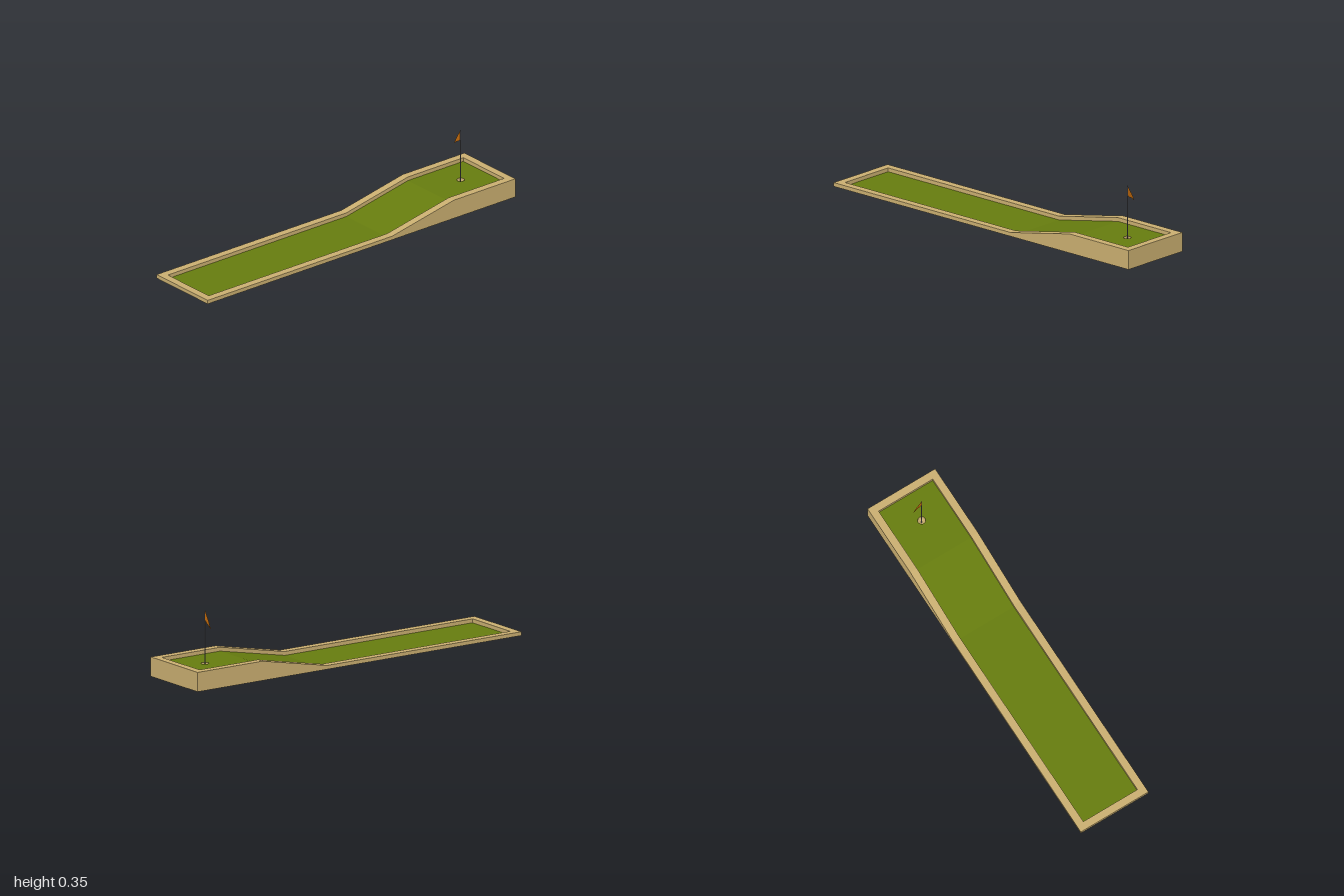
import * as THREE from 'three';

const HALF_W = 0.2, HALF_L = 1, RIM = 0.04, DROP = 0.02;
const HOLE_Z = -0.81, HOLE_R = 0.02, GREEN_Y = 0.08;

const material = (name, color) => {
  const m = new THREE.MeshStandardMaterial({ color, side: THREE.DoubleSide });
  m.name = name;
  return m;
};

// Flat-faced band between two matching lines of points
function strip(a, b, closed = false) {
  const pos = [];
  const n = a.length;
  for (let i = 0; i < (closed ? n : n - 1); i++) {
    const j = (i + 1) % n;
    for (const p of [a[i], b[i], b[j], a[i], b[j], a[j]]) pos.push(...p);
  }
  const g = new THREE.BufferGeometry();
  g.setAttribute('position', new THREE.Float32BufferAttribute(pos, 3));
  g.computeVertexNormals();
  return g;
}

// Closed outline of the lane; heightAt turns the rim height into the loop's height
function laneLoop(inset, heightAt) {
  const stations = [[HALF_L - inset, 0.02], [-0.2, 0.02], [-0.6, 0.1], [inset - HALF_L, 0.1]];
  const left = stations.map(([z, y]) => [HALF_W - inset, heightAt(y), z]);
  const right = left.map(([x, y, z]) => [-x, y, z]).reverse();
  return [...left, ...right];
}

export function createModel() {
  const group = new THREE.Group();
  const wood = material('wood', 0xc9ae70);
  const turf = material('turf green', 0x667c0e);
  const metal = material('pole grey', 0x808086);
  const orange = material('flag orange', 0xc26a0c);

  const add = (name, geometry, mat) => {
    const mesh = new THREE.Mesh(geometry, mat);
    mesh.name = name;
    group.add(mesh);
    return mesh;
  };

  // Hollow wooden border: outer wall, top rim and inner wall
  const loops = [
    laneLoop(0, () => 0),
    laneLoop(0, y => y),
    laneLoop(RIM, y => y),
    laneLoop(RIM, y => y - DROP),
  ];
  ['outerWall', 'topRim', 'innerWall'].forEach((name, k) =>
    add(name, strip(loops[k + 1], loops[k], true), wood));

  // Lower lane and ramp
  const inner = loops[3];
  const leftEdge = inner.slice(0, 3);
  add('laneTurf', strip(leftEdge.map(([x, y, z]) => [-x, y, z]), leftEdge), turf);

  // Raised green with a hole
  const w = HALF_W - RIM, back = HALF_L - RIM;
  const green = new THREE.Shape([[-w, 0.6], [w, 0.6], [w, back], [-w, back]]
    .map(p => new THREE.Vector2(...p)));
  const hole = new THREE.Path();
  hole.absarc(0, -HOLE_Z, HOLE_R, 0, Math.PI * 2, true);
  green.holes.push(hole);
  const greenMesh = add('raisedTurf', new THREE.ShapeGeometry(green, 6), turf);
  greenMesh.rotation.x = -Math.PI / 2;
  greenMesh.position.y = GREEN_Y;

  // Cup below the hole
  const cupProfile = [[0, 0.045], [HOLE_R, 0.045], [HOLE_R, GREEN_Y]]
    .map(p => new THREE.Vector2(...p));
  const cup = add('cup', new THREE.LatheGeometry(cupProfile, 12), wood);
  cup.position.z = HOLE_Z;

  // Pole standing on the cup floor
  const poleBottom = 0.045, poleTop = 0.353;
  const pole = add('pole',
    new THREE.CylinderGeometry(0.002, 0.002, poleTop - poleBottom, 8), metal);
  pole.position.set(0, (poleTop + poleBottom) / 2, HOLE_Z);

  // Drooping pennant
  const flag = new THREE.Shape([
    [-0.001, 0.352], [-0.033, 0.301], [-0.047, 0.272], [-0.049, 0.263],
    [-0.033, 0.279], [-0.017, 0.287], [-0.001, 0.302],
  ].map(p => new THREE.Vector2(...p)));
  add('flag', new THREE.ShapeGeometry(flag), orange).position.z = HOLE_Z;

  return group;
}
